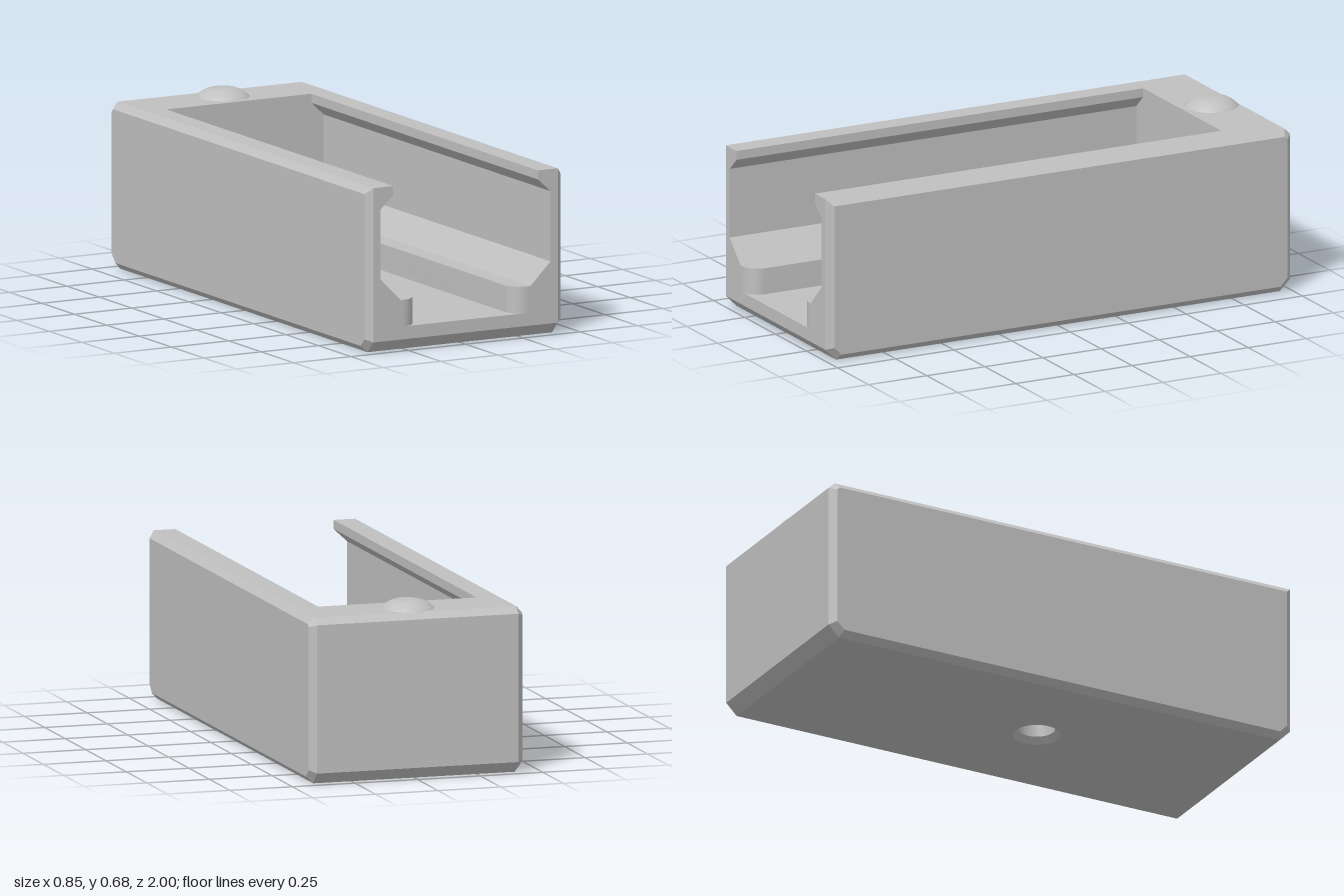
import * as THREE from 'three';
import { toCreasedNormals } from 'three/addons/utils/BufferGeometryUtils.js';

const H = 0.642, X = 0.402, BEVEL = 0.025, BACK = -0.75;
const LEDGE = 0.198, FLOOR = 0.095, HOLE_Z = 0.125;

// Collects flat polygons (with optional holes), each turned towards a given direction
class Faces {
  constructor() { this.pos = []; }

  add(points, facing, holes = []) {
    const loop = points.map(p => new THREE.Vector3(...p));
    const rings = holes.map(h => h.map(p => new THREE.Vector3(...p)));
    const n = new THREE.Vector3();
    loop.forEach((p, i) => n.add(p.clone().cross(loop[(i + 1) % loop.length])));
    const a = [Math.abs(n.x), Math.abs(n.y), Math.abs(n.z)];
    const drop = a.indexOf(Math.max(...a));
    const flat = p => new THREE.Vector2(...p.toArray().filter((_, i) => i !== drop));
    const all = [...loop, ...rings.flat()];
    const dir = new THREE.Vector3(...facing);
    for (const [i, j, k] of THREE.ShapeUtils.triangulateShape(loop.map(flat), rings.map(r => r.map(flat)))) {
      const normal = all[j].clone().sub(all[i]).cross(all[k].clone().sub(all[i]));
      const order = normal.dot(dir) >= 0 ? [i, j, k] : [i, k, j];
      order.forEach(v => this.pos.push(...all[v].toArray()));
    }
  }

  geometry() {
    const g = new THREE.BufferGeometry();
    g.setAttribute('position', new THREE.Float32BufferAttribute(this.pos, 3));
    return toCreasedNormals(g, 0.4);
  }
}

const circle = (r, y) => Array.from({ length: 32 }, (_, i) => {
  const t = i / 32 * Math.PI * 2;
  return [r * Math.sin(t), y, HOLE_Z + r * Math.cos(t)];
});

// Side outline as [z, y], and the same outline moved in by the bevel
const outline = [[1, H], [1, 0.045], [0.955, 0], [-0.955, 0], [-1, 0.045], [-1, 0.617], [-0.975, H]];
const inset = [[0.975, 0.617], [0.975, 0.0554], [0.9446, 0.025], [-0.9446, 0.025],
  [-0.975, 0.0554], [-0.975, 0.6066], [-0.9646, 0.617]];

// Half of the channel section as [x, y], from the lip down to the ledge
const channel = [[0.316, H], [0.316, 0.607], [0.37, 0.557], [0.37, 0.285], [0.283, LEDGE]];

// Half of the floor slot seen from above as [x, z]: rounded back corner, flared mouth
const R = 0.065, SLOT = 0.205;
const slot = [];
for (let i = 0; i <= 8; i++) {
  const t = i / 8 * Math.PI / 2;
  slot.push([SLOT - R + R * Math.sin(t), BACK + R - R * Math.cos(t)]);
}
for (let i = 0; i <= 8; i++) {
  const t = i / 8 * Math.PI / 2;
  slot.push([SLOT + R - R * Math.cos(t), 1 - R + R * Math.sin(t)]);
}

// Joins the right half of a path with its mirror image
const mirrored = half => [...half.map(([x, ...r]) => [-x, ...r]), ...half.slice().reverse()];

function buildShell() {
  const f = new Faces();
  // Plain end and chamfer strips
  outline.forEach(([z, y], i) => {
    const j = (i + 1) % outline.length, [z2, y2] = outline[j];
    const out = [y - y2, z2 - z].map(v => -v);
    const facing = [0, out[1], out[0]].map(v => -v);
    if (![0, 2, 6].includes(i)) {
      const centre = [0, (y + y2) / 2 - H / 2, (z + z2) / 2];
      f.add([[-X, y, z], [X, y, z], [X, y2, z2], [-X, y2, z2]], centre);
    }
    // Bevels along both sides
    for (const s of [-1, 1]) {
      const [qz, qy] = inset[i], [qz2, qy2] = inset[j];
      f.add([[s * X, y, z], [s * (X + BEVEL), qy, qz], [s * (X + BEVEL), qy2, qz2], [s * X, y2, z2]],
        [s, 0, 0]);
    }
  });
  // Side walls
  for (const s of [-1, 1]) f.add(inset.map(([z, y]) => [s * (X + BEVEL), y, z]), [s, 0, 0]);
  // Underside with bolt hole
  f.add([[-X, 0, -0.955], [X, 0, -0.955], [X, 0, 0.955], [-X, 0, 0.955]], [0, -1, 0], [circle(0.09, 0)]);
  // Open front
  const mouth = mirrored([...channel, [SLOT + R, LEDGE], [SLOT + R, FLOOR]]);
  f.add([[X, H], [X, 0.045], [-X, 0.045], [-X, H], ...mouth].map(([x, y]) => [x, y, 1]), [0, 0, 1]);
  // Top rim
  f.add([[X, 1], [X, -0.975], [-X, -0.975], [-X, 1], ...mirrored([[0.316, 1], [0.316, BACK]])]
    .map(([x, z]) => [x, H, z]), [0, 1, 0]);
  return f.geometry();
}

function buildChannel() {
  const f = new Faces();
  for (const s of [-1, 1]) {
    // Long inner walls
    for (let i = 0; i < channel.length - 1; i++) {
      const [x, y] = channel[i], [x2, y2] = channel[i + 1];
      const facing = [-s * Math.abs(y2 - y), y > 0.4 && i === 1 ? -0.01 : 0, 0];
      f.add([[s * x, y, BACK], [s * x, y, 1], [s * x2, y2, 1], [s * x2, y2, BACK]], facing);
    }
    // Ledges and slot walls
    f.add([...slot, [0.283, 1], [0.283, BACK]].map(([x, z]) => [s * x, LEDGE, z]), [0, 1, 0]);
    for (let i = 0; i < slot.length - 1; i++) {
      const [x, z] = slot[i], [x2, z2] = slot[i + 1];
      f.add([[s * x, FLOOR, z], [s * x2, FLOOR, z2], [s * x2, LEDGE, z2], [s * x, LEDGE, z]], [-s, 0, 1]);
    }
  }
  // Back wall
  f.add(mirrored([...channel, [SLOT - R, LEDGE], [SLOT - R, FLOOR]]).map(([x, y]) => [x, y, BACK]), [0, 0, 1]);
  // Slot floor
  f.add(mirrored(slot.slice().reverse()).map(([x, z]) => [x, FLOOR, z]), [0, 1, 0], [circle(0.085, FLOOR)]);
  return f.geometry();
}

const lathe = (points, segments) =>
  new THREE.LatheGeometry(points.map(p => new THREE.Vector2(...p)), segments);

export function createModel() {
  const group = new THREE.Group();
  const grey = new THREE.MeshStandardMaterial({ color: 0xc0c0c0 });
  grey.name = 'grey';
  const add = (name, geometry, z = 0) => {
    const mesh = new THREE.Mesh(geometry, grey);
    mesh.name = name;
    mesh.position.z = z;
    group.add(mesh);
  };

  add('outerShell', buildShell());
  add('innerChannel', buildChannel());
  // Bolt hole, countersunk at both ends
  add('boltHole', toCreasedNormals(
    lathe([[0.085, FLOOR], [0.07, 0.08], [0.07, 0.025], [0.09, 0]], 32), 0.4), HOLE_Z);
  // Domed button with a small flat top
  add('button', lathe([[0.11, 0.632], [0.103, H], [0.094, 0.651], [0.083, 0.659], [0.07, 0.667],
    [0.054, 0.673], [0.036, 0.676], [0, 0.676]], 40), -0.875);
  return group;
}
